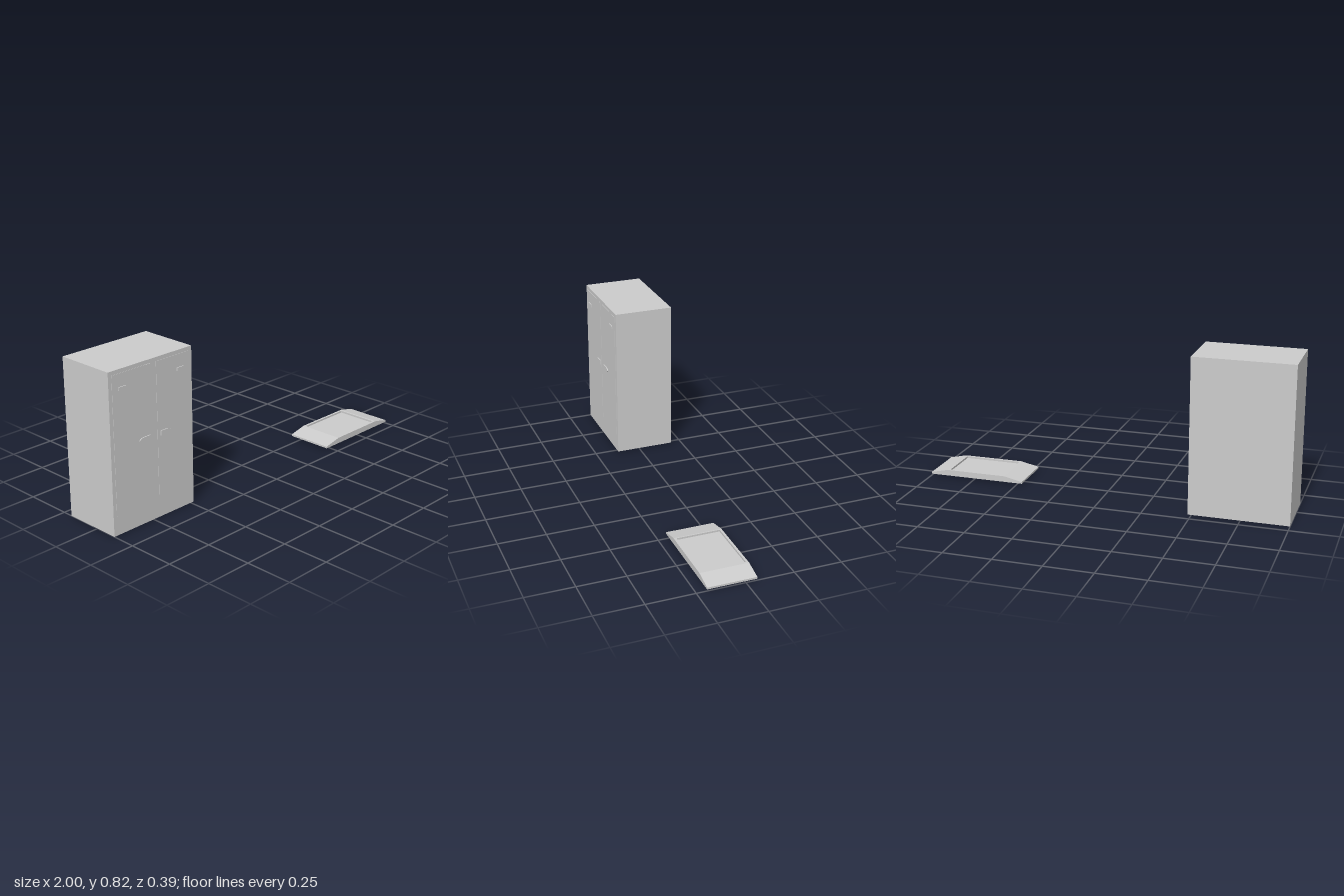
import * as THREE from 'three';

const grey = new THREE.MeshStandardMaterial({ color: 0xcccccc });
const shellGrey = new THREE.MeshStandardMaterial({ color: 0xcccccc, side: THREE.DoubleSide });

// Open-bottomed shell: rectangular rings [x0, x1, z0, z1, y] joined in order, the last one capped
function ringShell(name, rings) {
  const pos = [];
  const corners = rings.map(([x0, x1, z0, z1, y]) =>
    [[x0, y, z1], [x1, y, z1], [x1, y, z0], [x0, y, z0]]);
  const quad = (a, b, c, d) => pos.push(...a, ...b, ...c, ...a, ...c, ...d);
  for (let k = 0; k < corners.length - 1; k++) {
    for (let i = 0; i < 4; i++) {
      const j = (i + 1) % 4;
      quad(corners[k][i], corners[k][j], corners[k + 1][j], corners[k + 1][i]);
    }
  }
  quad(...corners[corners.length - 1]);
  const geo = new THREE.BufferGeometry();
  geo.setAttribute('position', new THREE.Float32BufferAttribute(pos, 3));
  geo.computeVertexNormals();
  const mesh = new THREE.Mesh(geo, shellGrey);
  mesh.name = name;
  return mesh;
}

function box(name, x0, x1, y0, y1, z0, z1) {
  const mesh = new THREE.Mesh(new THREE.BoxGeometry(x1 - x0, y1 - y0, z1 - z0), grey);
  mesh.position.set((x0 + x1) / 2, (y0 + y1) / 2, (z0 + z1) / 2);
  mesh.name = name;
  return mesh;
}

// Handle plate: square at the inner end, blunt point at the outer end
function handle(inner, outer) {
  const s = Math.sign(outer - inner);
  const tip = outer - s * 0.022;
  const shape = new THREE.Shape([
    [inner, 0.424], [tip, 0.424], [outer - s * 0.006, 0.43], [outer, 0.437],
    [outer - s * 0.006, 0.444], [tip, 0.45], [inner, 0.45],
  ].map(([x, y]) => new THREE.Vector2(x, y)));
  const geo = new THREE.ExtrudeGeometry(shape, { depth: 0.009, bevelEnabled: false });
  const mesh = new THREE.Mesh(geo, grey);
  mesh.position.z = 0.122;
  mesh.name = 'handle';
  return mesh;
}

export function createModel() {
  const model = new THREE.Group();
  model.name = 'cabinetAndTray';

  // Cabinet with an open underside
  const cabinet = new THREE.Group();
  cabinet.name = 'cabinet';
  cabinet.add(ringShell('cabinetBody', [
    [-1, -0.48, -0.195, 0.124, 0],
    [-1, -0.48, -0.195, 0.124, 0.823],
  ]));

  // Deep door blocks, just proud of the front, with label holders and handles
  cabinet.add(
    box('rightDoor', -0.98, -0.745, 0.1, 0.803, -0.18, 0.126),
    box('leftDoor', -0.71, -0.5, 0.1, 0.803, -0.18, 0.126),
    box('rightLabelHolder', -0.945, -0.9, 0.722, 0.738, 0.122, 0.131),
    box('leftLabelHolder', -0.58, -0.535, 0.722, 0.738, 0.122, 0.131),
    handle(-0.76, -0.828),
    handle(-0.692, -0.625),
  );
  model.add(cabinet);

  // Low tray with sloping ends and a sunken centre panel
  model.add(ringShell('tray', [
    [0.47, 1, -0.058, 0.196, 0.008],
    [0.47, 1, -0.058, 0.196, 0.018],
    [0.57, 0.905, -0.058, 0.196, 0.04],
    [0.577, 0.892, -0.046, 0.182, 0.04],
    [0.577, 0.892, -0.046, 0.182, 0.03],
  ]));
  return model;
}
